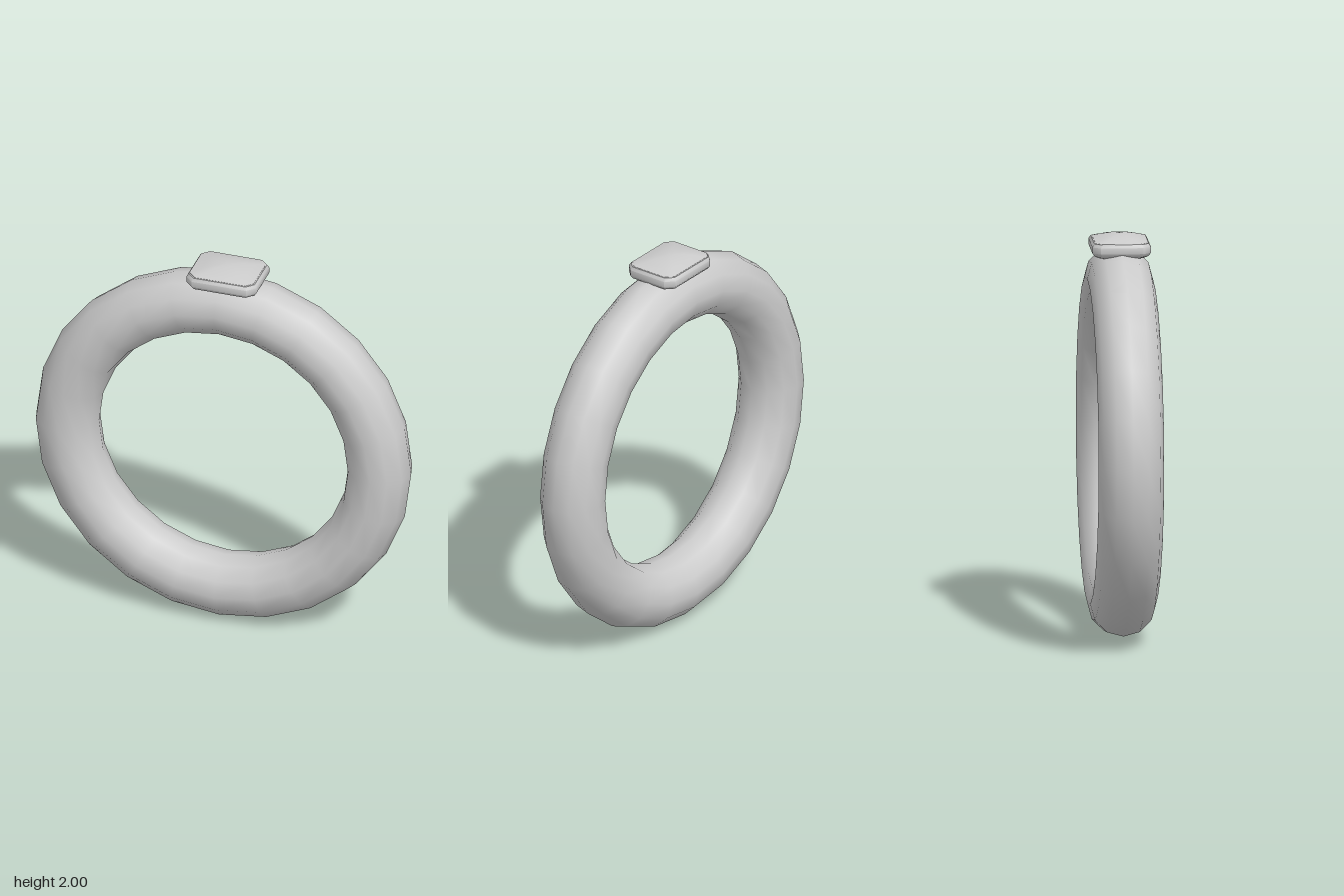
import * as THREE from 'three';
import { toCreasedNormals } from 'three/addons/utils/BufferGeometryUtils.js';

const material = new THREE.MeshStandardMaterial({ color: 0xcccccc });

// Rectangle with cut corners, as eight points
function cutRectangle(hx, hz, cut) {
  return [
    [hx, -hz + cut], [hx, hz - cut], [hx - cut, hz], [-hx + cut, hz],
    [-hx, hz - cut], [-hx, -hz + cut], [-hx + cut, -hz], [hx - cut, -hz],
  ];
}

// Stack of cut rectangles from bottom to top, closed at both ends
function loft(sections) {
  const n = 8, points = [], index = [];
  for (const [y, hx, hz, cut] of sections) {
    for (const [x, z] of cutRectangle(hx, hz, cut)) points.push(x, y, z);
  }
  const last = sections.length - 1;
  const bottom = points.length / 3, top = bottom + 1;
  points.push(0, sections[0][0], 0, 0, sections[last][0] + 0.002, 0);
  for (let i = 0; i < n; i++) {
    const j = (i + 1) % n;
    for (let s = 0; s < last; s++) {
      const a = s * n + i, b = s * n + j;
      index.push(a, a + n, b, b, a + n, b + n);
    }
    index.push(bottom, i, j, top, last * n + j, last * n + i);
  }
  const geometry = new THREE.BufferGeometry();
  geometry.setAttribute('position', new THREE.Float32BufferAttribute(points, 3));
  geometry.setIndex(index);
  return toCreasedNormals(geometry, 0.9);
}

export function createModel() {
  const group = new THREE.Group();

  // Round band standing upright
  const band = new THREE.Mesh(new THREE.TorusGeometry(0.806, 0.161, 12, 24), material);
  band.name = 'band';
  band.position.y = 0.97;
  group.add(band);

  // Setting: flat plate with a rounded rim, slightly off centre
  const setting = new THREE.Mesh(loft([
    [1.895, 0.150, 0.112, 0.03],
    [1.905, 0.168, 0.132, 0.035],
    [1.922, 0.180, 0.144, 0.04],
    [1.952, 0.180, 0.144, 0.04],
    [1.968, 0.170, 0.134, 0.035],
  ]), material);
  setting.name = 'setting';
  setting.position.x = 0.02;
  group.add(setting);

  // Stone: low faceted dome
  const stone = new THREE.Mesh(loft([
    [1.955, 0.168, 0.132, 0.035],
    [1.969, 0.164, 0.128, 0.034],
    [1.984, 0.115, 0.088, 0.03],
    [1.994, 0.070, 0.052, 0.02],
    [1.998, 0.030, 0.022, 0.01],
  ]), material);
  stone.name = 'stone';
  stone.position.x = 0.02;
  group.add(stone);

  return group;
}
